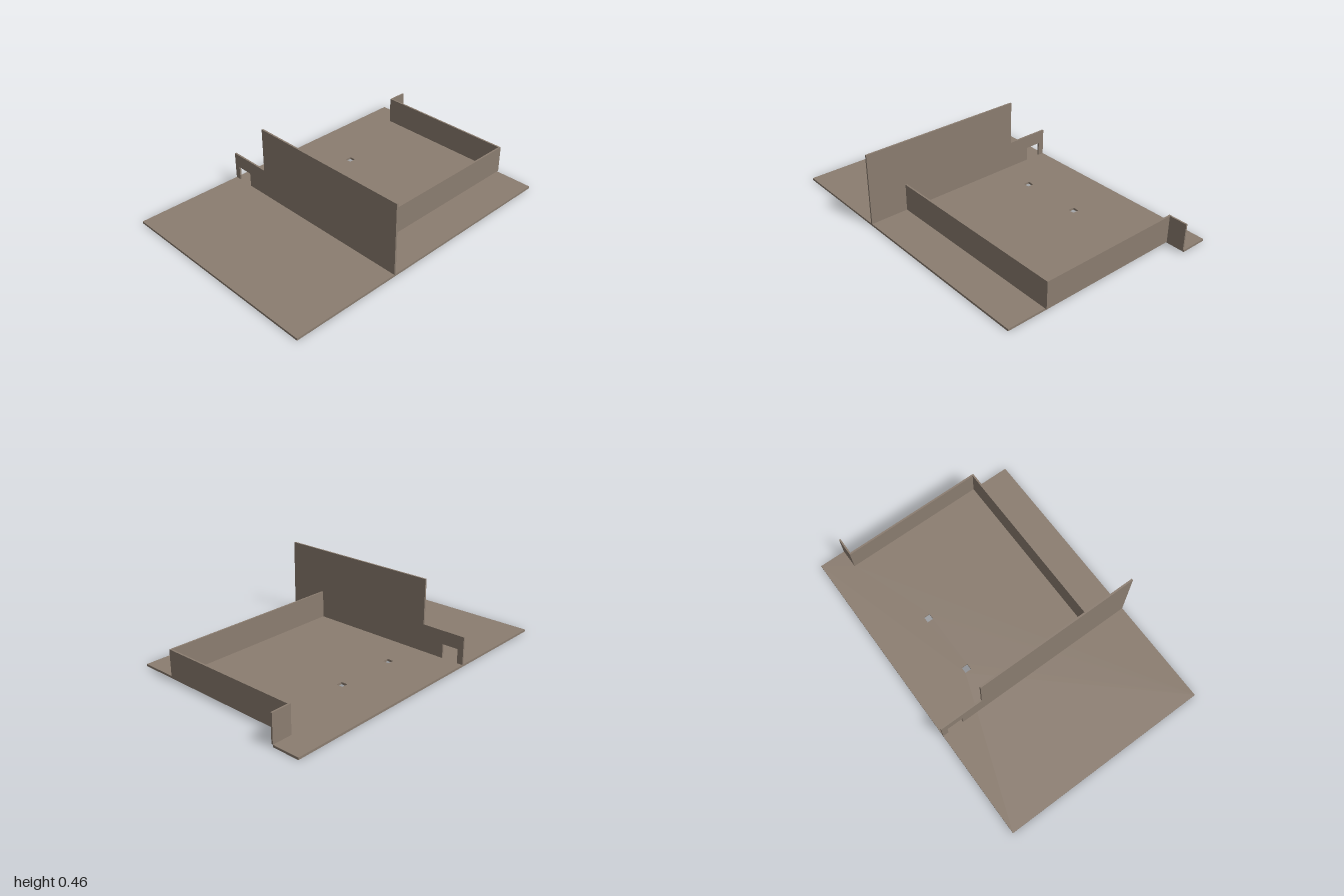
import * as THREE from 'three';

const T = 0.013; // sheet thickness
const material = new THREE.MeshStandardMaterial({ color: 0x8b7d70, flatShading: true });

function polygon(points, Type = THREE.Shape) {
  return new Type(points.map(([x, y]) => new THREE.Vector2(x, y)));
}

function sheet(name, shape, depth) {
  const geometry = new THREE.ExtrudeGeometry(shape, { depth, bevelEnabled: false });
  const mesh = new THREE.Mesh(geometry, material);
  mesh.name = name;
  return mesh;
}

// Upright panel given by its x and z limits, resting on the base level
function panel(name, x0, x1, z0, z1, top) {
  const mesh = new THREE.Mesh(new THREE.BoxGeometry(x1 - x0, top - T, z1 - z0), material);
  mesh.position.set((x0 + x1) / 2, (top + T) / 2, (z0 + z1) / 2);
  mesh.name = name;
  return mesh;
}

export function createModel() {
  const model = new THREE.Group();
  model.name = 'bracketPlate';

  // Base plate with rear tab and two square holes (drawn as x, z)
  const plan = polygon([
    [-0.665, 1], [-0.665, -1], [-0.497, -1], [-0.497, -0.877], [0.665, -0.877], [0.665, 1],
  ]);
  for (const z of [-0.322, 0.073]) {
    plan.holes.push(polygon([
      [-0.342, z - 0.02], [-0.302, z - 0.02], [-0.302, z + 0.02], [-0.342, z + 0.02],
    ], THREE.Path));
  }
  const base = sheet('basePlate', plan, T);
  base.rotation.x = Math.PI / 2;
  base.position.y = T;
  model.add(base);

  // Tall stepped wall with a cable notch open at the base
  const front = sheet('frontWall', polygon([
    [-0.665, T], [-0.628, T], [-0.628, 0.1], [-0.525, 0.1], [-0.525, T],
    [0.665, T], [0.665, 0.46], [-0.385, 0.46], [-0.385, 0.183], [-0.665, 0.183],
  ]), 0.011);
  front.position.z = 0.314;
  model.add(front);

  // Low walls along the side, the rear and the tab
  model.add(panel('sideWall', 0.412, 0.423, -0.877, 0.314, 0.183));
  model.add(panel('rearWall', -0.497, 0.423, -0.888, -0.877, 0.183));
  model.add(panel('tabWall', -0.497, -0.487, -1, -0.888, 0.183));

  return model;
}
